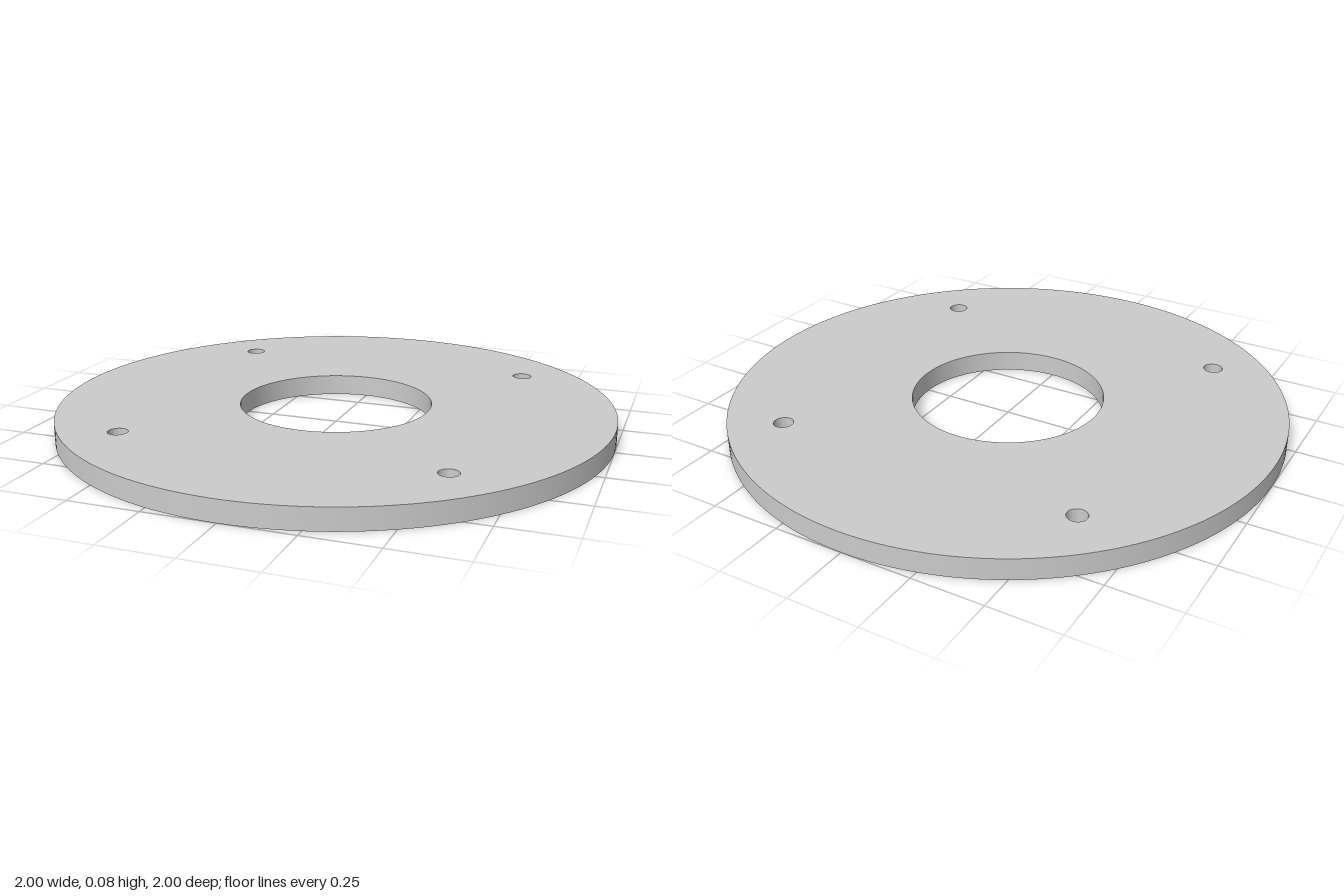
import * as THREE from 'three';
import { toCreasedNormals } from 'three/addons/utils/BufferGeometryUtils.js';

const THICKNESS = 0.075;
const OUTER_RADIUS = 1;
const BORE_RADIUS = 0.347;
const BOLT_RADIUS = 0.035;
const BOLT_OFFSET = 0.571; // bolt holes sit on the diagonals

function circle(PathType, x, y, radius) {
  return new PathType().absarc(x, y, radius, 0, Math.PI * 2, false);
}

export function createModel() {
  const group = new THREE.Group();
  group.name = 'flangePlate';

  // Round plate with a central bore and four bolt holes
  const outline = circle(THREE.Shape, 0, 0, OUTER_RADIUS);
  outline.holes.push(circle(THREE.Path, 0, 0, BORE_RADIUS));
  for (const sx of [-1, 1]) {
    for (const sz of [-1, 1]) {
      outline.holes.push(circle(THREE.Path, sx * BOLT_OFFSET, sz * BOLT_OFFSET, BOLT_RADIUS));
    }
  }

  // Extruded along z, then laid flat on the ground
  const extruded = new THREE.ExtrudeGeometry(outline, {
    depth: THICKNESS,
    bevelEnabled: false,
    curveSegments: 96,
  });
  extruded.rotateX(-Math.PI / 2);

  const plate = new THREE.Mesh(
    toCreasedNormals(extruded, Math.PI / 6),
    new THREE.MeshStandardMaterial({ color: 0xcccccc })
  );
  plate.name = 'plate';
  group.add(plate);
  return group;
}
